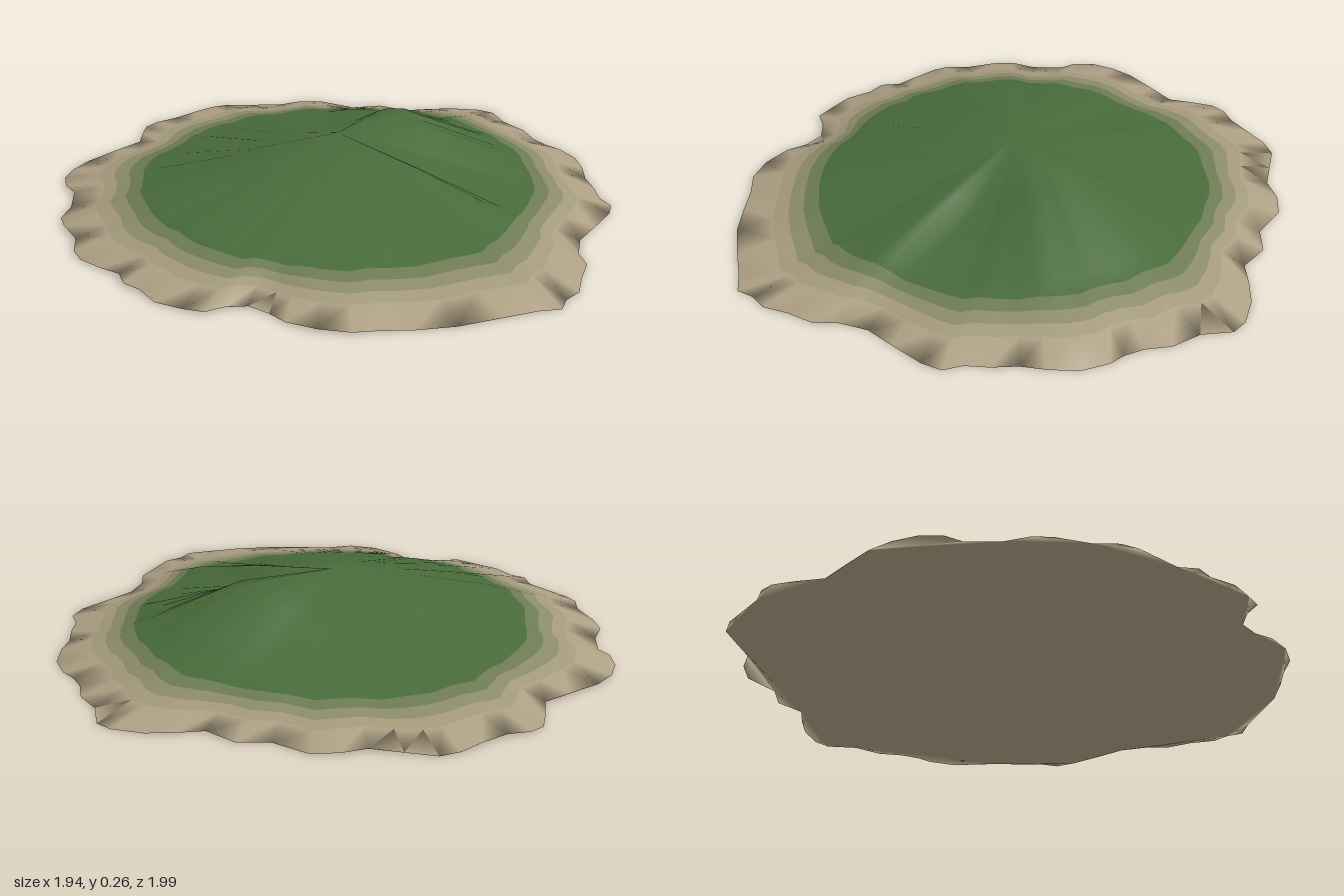
import * as THREE from 'three';

// Shoreline as x, z pairs, running from the left side (+x) towards the front (+z)
const SHORE = [
  0.97, -0.05, 0.95, 0.05, 0.92, 0.13, 0.91, 0.22, 0.89, 0.30, 0.90, 0.37, 0.86, 0.43, 0.76, 0.51,
  0.67, 0.58, 0.62, 0.67, 0.61, 0.75, 0.55, 0.83, 0.50, 0.91, 0.44, 0.94, 0.40, 0.99, 0.32, 0.985,
  0.20, 0.99, 0.05, 0.99, -0.08, 0.965, -0.18, 0.94, -0.27, 0.93, -0.36, 0.88, -0.44, 0.80, -0.47, 0.73,
  -0.52, 0.67, -0.59, 0.66, -0.66, 0.67, -0.72, 0.62, -0.79, 0.55, -0.82, 0.46, -0.86, 0.41, -0.86, 0.34,
  -0.91, 0.27, -0.96, 0.19, -0.97, 0.13, -0.95, 0.05, -0.97, -0.07, -0.97, -0.14, -0.92, -0.22, -0.89, -0.33,
  -0.91, -0.39, -0.90, -0.47, -0.86, -0.54, -0.79, -0.60, -0.67, -0.66, -0.57, -0.71, -0.54, -0.80, -0.51, -0.87,
  -0.46, -0.90, -0.38, -0.91, -0.29, -0.95, -0.21, -0.99, -0.14, -1.0, -0.04, -0.96, 0.06, -0.92, 0.15, -0.93,
  0.24, -0.91, 0.34, -0.81, 0.45, -0.79, 0.53, -0.70, 0.62, -0.69, 0.72, -0.67, 0.82, -0.62, 0.86, -0.57,
  0.86, -0.46, 0.90, -0.36, 0.90, -0.27, 0.92, -0.20, 0.95, -0.15,
];

// Heights of the inner and outer hill rings at angles in degrees (0 = +x, 90 = +z)
const INNER = [[-180, 0.185], [-150, 0.16], [-130, 0.135], [-110, 0.15], [-80, 0.14], [-60, 0.17], [-40, 0.235],
  [-20, 0.265], [0, 0.235], [20, 0.17], [38, 0.145], [50, 0.195], [70, 0.165], [90, 0.17], [140, 0.18], [180, 0.185]];
const OUTER = [[-180, 0.11], [-130, 0.075], [-90, 0.08], [-30, 0.105], [0, 0.105], [38, 0.08],
  [50, 0.115], [70, 0.08], [90, 0.092], [140, 0.1], [180, 0.11]];

function heightAt(table, angle) {
  const i = Math.max(1, table.findIndex(([a]) => a >= angle));
  const [a0, h0] = table[i - 1], [a1, h1] = table[i];
  return THREE.MathUtils.mapLinear(angle, a0, a1, h0, h1);
}

export function createModel() {
  const island = new THREE.Group();
  island.name = 'island';
  const n = SHORE.length / 2;
  const rim = [];
  for (let i = 0; i < n; i++) rim.push(new THREE.Vector2(SHORE[2 * i], SHORE[2 * i + 1]));

  // Each spoke runs from the middle over two hill rings, then down to the shore
  const spokes = rim.map((p, i) => {
    const a = Math.atan2(p.y, p.x);
    const deg = THREE.MathUtils.radToDeg(a);
    const ripple = 0.006 * Math.sin(i * 2.1);
    const at = (r, y) => new THREE.Vector3(r * Math.cos(a), y, r * Math.sin(a));
    const inner = at(0.32, heightAt(INNER, deg));
    const outer = at(0.63, heightAt(OUTER, deg) + ripple);
    const shoreY = Math.max(0, 0.004 - 0.006 * p.x + 0.004 * Math.sin(i * 1.3));
    const shore = new THREE.Vector3(p.x, shoreY, p.y);
    const beach = [0.2, 0.35, 0.5, 0.65].map((t) => outer.clone().lerp(shore, t));
    return [inner, outer, ...beach, shore];
  });
  const rings = spokes[0].length;

  // Shared points: the middle first, then ring after ring
  const positions = [0, 0.255, 0];
  for (let r = 0; r < rings; r++) for (const s of spokes) positions.push(...s[r].toArray());
  const id = (r, i) => 1 + r * n + (i % n);

  function band(from, to) {
    const index = [];
    for (let r = from; r < to; r++) {
      for (let i = 0; i < n; i++) {
        if (r === 0) index.push(0, id(0, i + 1), id(0, i));
        else {
          const a = id(r - 1, i), b = id(r - 1, i + 1), c = id(r, i + 1), d = id(r, i);
          index.push(a, b, c, a, c, d);
        }
      }
    }
    return index;
  }
  const underside = THREE.ShapeUtils.triangulateShape(rim, []).flat().map((i) => id(rings - 1, i));

  // Normals are taken over the closed surface so that the bands meet without seams
  const whole = new THREE.BufferGeometry();
  whole.setAttribute('position', new THREE.Float32BufferAttribute(positions, 3));
  whole.setIndex([...band(0, rings), ...underside]);
  whole.computeVertexNormals();

  function addPart(name, index, color) {
    const geometry = new THREE.BufferGeometry();
    geometry.setAttribute('position', whole.attributes.position);
    geometry.setAttribute('normal', whole.attributes.normal);
    geometry.setIndex(index);
    const mesh = new THREE.Mesh(geometry, new THREE.MeshStandardMaterial({ color }));
    mesh.name = name;
    island.add(mesh);
  }

  // Grass fades to sand in narrow bands
  const grass = new THREE.Color(0x486b3a), sand = new THREE.Color(0xaea084);
  const mix = (t) => grass.clone().lerp(sand, t);
  addPart('grassHill', band(0, 3), grass);
  addPart('grassEdge', band(3, 4), mix(0.25));
  addPart('grassySand', band(4, 5), mix(0.55));
  addPart('drySand', band(5, 6), mix(0.85));
  addPart('beach', band(6, rings), sand);
  addPart('underside', underside, sand);
  return island;
}
